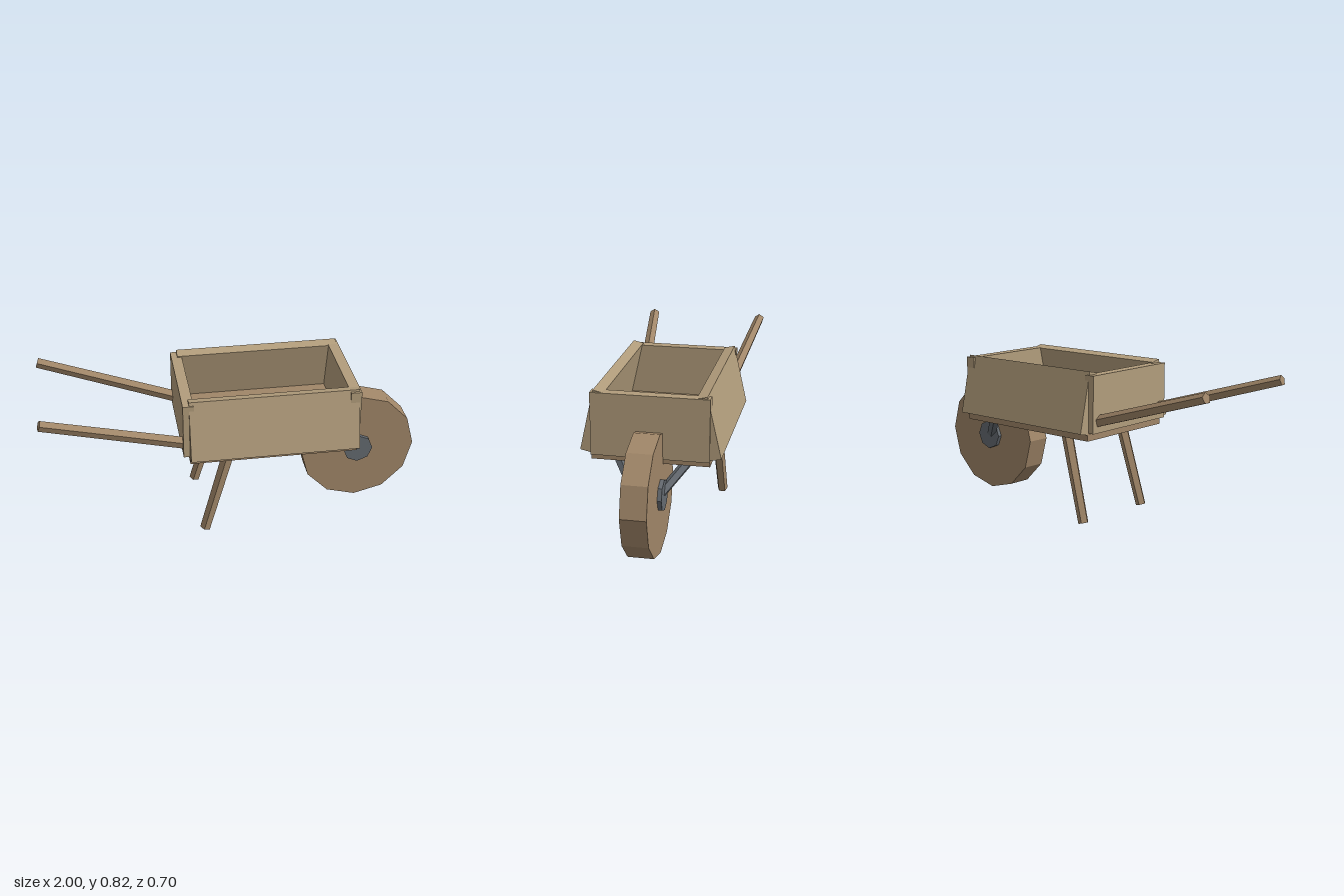
import * as THREE from 'three';

export function createModel() {
  const model = new THREE.Group();
  const material = (color) => new THREE.MeshStandardMaterial({ color, flatShading: true });
  const plank = material(0xb29d7c);
  const timber = material(0xa08668);
  const iron = material(0x646a70);

  function add(name, geometry, mat, x = 0, y = 0, z = 0) {
    const mesh = new THREE.Mesh(geometry, mat);
    mesh.name = name;
    mesh.position.set(x, y, z);
    model.add(mesh);
    return mesh;
  }

  // Five-sided rod from a to b, with one edge turned towards "ridge"
  function rod(name, a, b, ra, rb, ridge, mat) {
    const start = new THREE.Vector3(...a), end = new THREE.Vector3(...b);
    const y = end.clone().sub(start);
    const length = y.length();
    y.normalize();
    const x = new THREE.Vector3().crossVectors(y, new THREE.Vector3(...ridge)).normalize();
    const z = new THREE.Vector3().crossVectors(x, y);
    const mid = start.add(end).multiplyScalar(0.5);
    const mesh = add(name, new THREE.CylinderGeometry(rb, ra, length, 5), mat, mid.x, mid.y, mid.z);
    mesh.quaternion.setFromRotationMatrix(new THREE.Matrix4().makeBasis(x, y, z));
  }

  // Tray: floor and two end boards
  add('floor', new THREE.BoxGeometry(0.87, 0.07, 0.59), timber, 0.185, 0.5, 0);
  add('rearBoard', new THREE.BoxGeometry(0.056, 0.296, 0.58), plank, -0.255, 0.654, 0);
  add('frontBoard', new THREE.BoxGeometry(0.056, 0.32, 0.59), plank, 0.602, 0.65, 0);

  for (const s of [1, -1]) {
    const side = s > 0 ? 'left' : 'right';

    // Side boards lean inwards at the top
    const board = add(side + 'SideBoard', new THREE.BoxGeometry(0.872, 0.318, 0.055), plank,
      0.185, 0.659, 0.288 * s);
    board.rotation.x = -0.222 * s;

    // Handles, legs and wheel struts
    rod(side + 'Handle', [-0.25, 0.556, 0.236 * s], [-0.992, 0.782, 0.322 * s],
      0.032, 0.028, [0, 1, 0], timber);
    rod(side + 'Leg', [-0.034, 0.49, 0.216 * s], [-0.172, 0.01, 0.238 * s],
      0.032, 0.028, [-1, 0, 0], timber);
    rod(side + 'Strut', [0.51, 0.488, 0.203 * s], [0.685, 0.335, 0.067 * s],
      0.027, 0.025, [-1, 0, 0], iron);
  }

  // Wheel and hub
  const wheel = add('wheel', new THREE.CylinderGeometry(0.311, 0.311, 0.13, 12), timber, 0.689, 0.331, 0);
  const hub = add('hub', new THREE.CylinderGeometry(0.08, 0.08, 0.172, 8), iron, 0.689, 0.331, 0);
  wheel.rotation.x = hub.rotation.x = Math.PI / 2;

  return model;
}
